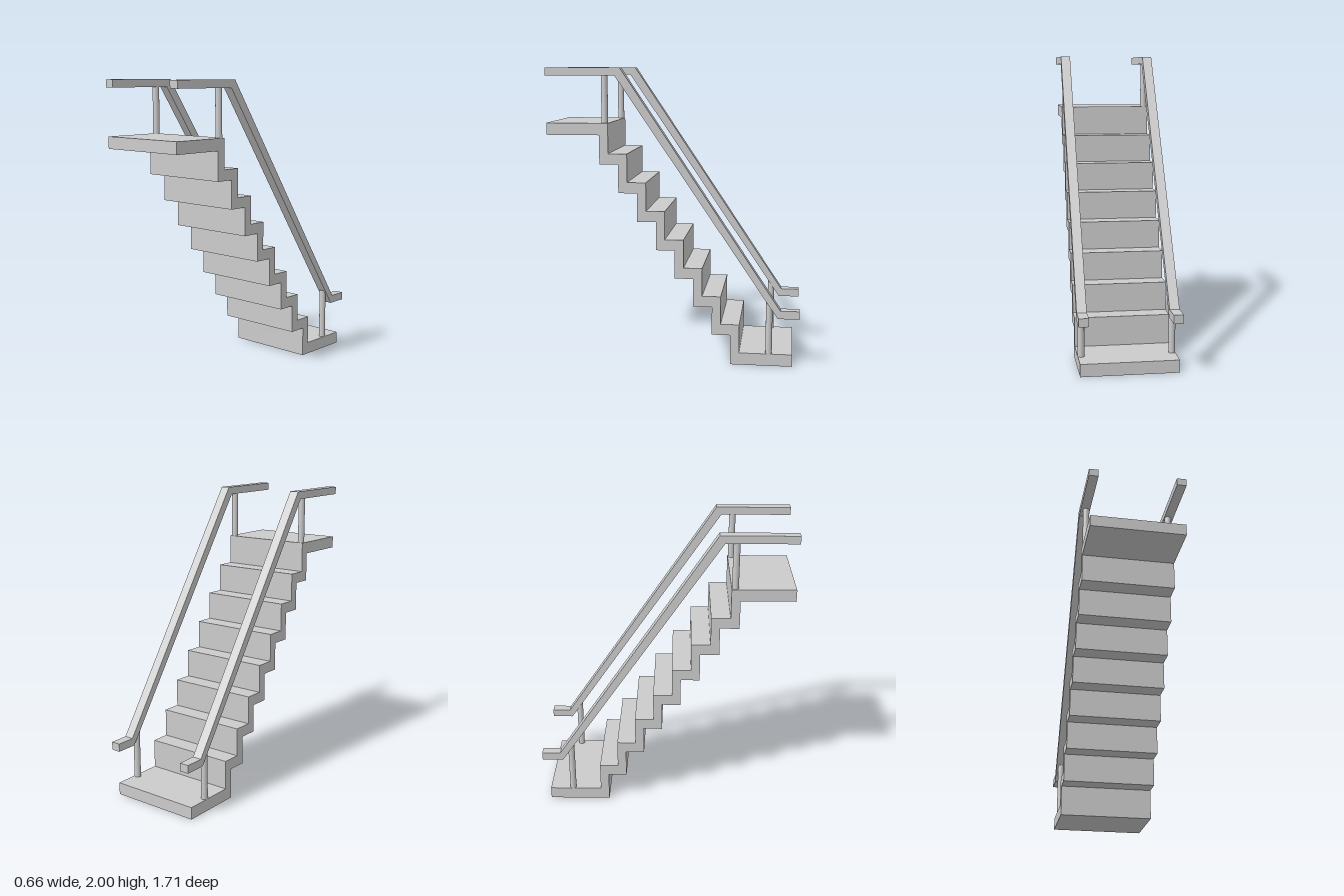
import * as THREE from 'three';

const material = new THREE.MeshStandardMaterial({ color: 0xcccccc });

// Extrude a side profile of [z, y] points across x, centred on the given x
function sideProfile(name, points, width, x) {
  const shape = new THREE.Shape(points.map(([z, y]) => new THREE.Vector2(z, y)));
  const geometry = new THREE.ExtrudeGeometry(shape, { depth: width, bevelEnabled: false });
  geometry.translate(0, 0, -width / 2);
  geometry.rotateY(-Math.PI / 2);
  const mesh = new THREE.Mesh(geometry, material);
  mesh.name = name;
  mesh.position.x = x;
  return mesh;
}

function post(name, x, z, bottom, top) {
  const mesh = new THREE.Mesh(new THREE.CylinderGeometry(0.022, 0.022, top - bottom, 20), material);
  mesh.name = name;
  mesh.position.set(x, (bottom + top) / 2, z);
  return mesh;
}

export function createModel() {
  const group = new THREE.Group();
  group.name = 'staircase';

  // Folded flight: bottom landing, eight risers, top landing
  const run = 0.127, rise = 0.192, steps = 8;
  const upper = [[-0.81, 0], [-0.81, 0.083]];
  const lower = [[-0.39, 0]];
  for (let i = 0; i < steps; i++) {
    const z = -0.45 + i * run;
    const top = i === steps - 1 ? 1.635 : 0.28 + i * rise;
    upper.push([z, i === 0 ? 0.083 : 0.28 + (i - 1) * rise], [z, top]);
    const under = i === steps - 1 ? 1.555 : 0.205 + i * 0.1925;
    lower.push([-0.39 + i * run, under], [-0.39 + (i + 1) * run, under]);
  }
  lower.pop();
  upper.push([0.857, 1.635], [0.857, 1.555]);
  group.add(sideProfile('stairFlight', [...upper, ...lower.reverse()], 0.637, 0));

  // Handrail with level ends, and its two posts, on each side
  const rail = [
    [0.857, 2], [0.353, 2], [-0.725, 0.39], [-0.853, 0.39],
    [-0.853, 0.335], [-0.708, 0.335], [0.387, 1.948], [0.857, 1.948],
  ];
  for (const [label, side] of [['left', 1], ['right', -1]]) {
    group.add(
      sideProfile(label + 'Handrail', rail, 0.065, side * 0.2985),
      post(label + 'UpperPost', side * 0.292, 0.463, 1.62, 1.96),
      post(label + 'LowerPost', side * 0.297, -0.65, 0.07, 0.44),
    );
  }
  return group;
}
